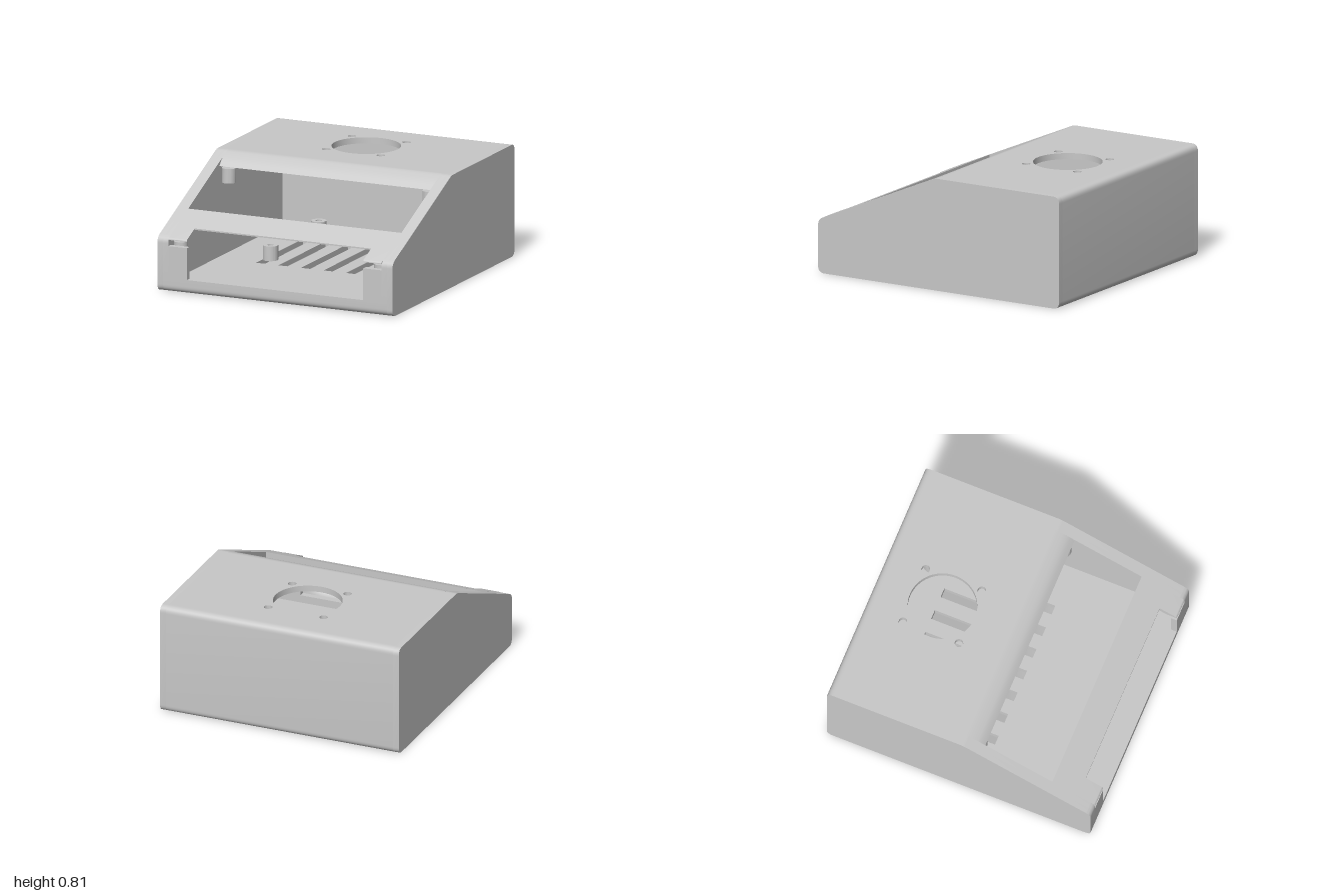
import * as THREE from 'three';
import { toCreasedNormals } from 'three/addons/utils/BufferGeometryUtils.js';

// Half widths (outer, inner, window, front opening) and wall thickness
const W = 0.913, IN = 0.869, WIN = 0.828, OPEN = 0.685, T = 0.044;

// Closed outline from [a, b, cornerRadius] points
function outline(pts) {
  const s = new THREE.Shape();
  const n = pts.length;
  const V = (p) => new THREE.Vector2(p[0], p[1]);
  pts.forEach((p, i) => {
    const c = V(p), r = p[2] || 0;
    const toward = (q) => c.clone().add(V(q).sub(c).setLength(r));
    const a = r ? toward(pts[(i + n - 1) % n]) : c;
    if (i === 0) s.moveTo(a.x, a.y); else s.lineTo(a.x, a.y);
    if (r) {
      const b = toward(pts[(i + 1) % n]);
      s.quadraticCurveTo(c.x, c.y, b.x, b.y);
    }
  });
  s.closePath();
  return s;
}

function circle(x, z, r) {
  return new THREE.Path().absarc(x, -z, r, 0, Math.PI * 2, true);
}

function rect(x0, x1, z0, z1) {
  return [[x0, -z1], [x1, -z1], [x1, -z0], [x0, -z0]];
}

export function createModel() {
  const group = new THREE.Group();
  const plastic = new THREE.MeshStandardMaterial({ color: 0xc8c8c8 });
  plastic.name = 'grey plastic';

  const add = (name, geo) => {
    const m = new THREE.Mesh(toCreasedNormals(geo, 0.5), plastic);
    m.name = name;
    group.add(m);
  };
  // Side profile in [z, y, radius], extruded from x0 to x1
  const profile = (name, pts, x0, x1) => {
    const s = outline(pts.map(([z, y, r]) => [-z, y, r]));
    const g = new THREE.ExtrudeGeometry(s, { depth: x1 - x0, bevelEnabled: false, curveSegments: 8 });
    add(name, g.rotateY(Math.PI / 2).translate(x0, 0, 0));
  };
  // Horizontal plate with holes, extruded from y0 to y1
  const plate = (name, shape, holes, y0, y1) => {
    shape.holes.push(...holes);
    const g = new THREE.ExtrudeGeometry(shape, { depth: y1 - y0, bevelEnabled: false, curveSegments: 32 });
    add(name, g.rotateX(-Math.PI / 2).translate(0, y0, 0));
  };

  // Back wall with rounded edges
  profile('backWall', [[-0.94, 0], [-0.94, T], [-0.956, T], [-0.956, 0.81 - T], [-0.94, 0.81 - T],
    [-0.94, 0.81], [-1, 0.81, 0.05], [-1, 0, 0.05]], -IN, IN);

  // Floor with seven vent slots
  const slots = [];
  for (let i = -3; i <= 3; i++) {
    const x = i * 0.175;
    slots.push(outline(rect(x - 0.035, x + 0.035, -0.64, 0.13)));
  }
  plate('floor', outline(rect(-IN, IN, -0.94, 0.94)), slots, 0, T);

  // Front sill below the opening
  profile('frontSill', [[0.94, 0], [1, 0, 0.05], [1, 0.1], [0.956, 0.1], [0.956, T], [0.94, T]], -IN, IN);

  // Roof with fan opening and four screw holes
  const holes = [circle(0, -0.497, 0.245)];
  for (const x of [-0.212, 0.212]) for (const z of [-0.71, -0.285]) holes.push(circle(x, z, 0.03));
  plate('roof', outline(rect(-IN, IN, -0.94, 0)), holes, 0.81 - T, 0.81);

  // Curved lip above the sloped window
  profile('windowLip', [[0, 0.81 - T], [0, 0.81], [0.02, 0.81], [0.045, 0.803], [0.075, 0.79],
    [0.11, 0.774], [0.137, 0.752], [0.163, 0.722], [0.12, 0.722], [0.06, 0.75]], -WIN, WIN);

  // Thin sloped bar between the window and the front opening
  profile('windowBar', [[0.675, 0.529], [0.87, 0.444], [0.87, 0.434], [0.785, 0.434],
    [0.675, 0.482]], -OPEN, OPEN);

  for (const [label, s] of [['left', 1], ['right', -1]]) {
    const span = (name, pts, a, b) => profile(label + name, pts, s > 0 ? a : -b, s > 0 ? b : -a);

    // Side wall with the sloped front
    span('Wall', [[1, 0, 0.05], [1, 0.387, 0.04], [0.03, 0.81, 0.02], [-1, 0.81, 0.05],
      [-1, 0, 0.05]], IN, W);

    // Strip of slope and front wall beside the window
    span('WindowEdge', [[0.956, 0.1], [1, 0.1], [1, 0.387, 0.04], [0.03, 0.81, 0.02], [0, 0.81],
      [0, 0.81 - T], [0.02, 0.81 - T], [0.956, 0.358]], WIN, IN);

    // Front cheek, with a slot under the sloped corner
    span('FrontCheek', [[0.956, 0.1], [1, 0.1], [1, 0.33], [0.956, 0.33]], OPEN, WIN);
    span('FrontCorner', [[0.675, 0.529], [0.675, 0.482], [0.922, 0.375], [1, 0.375],
      [1, 0.387, 0.01]], OPEN, WIN);

    // Posts for the window panel
    for (const [z, y0, y1] of [[0.11, 0.6, 0.705], [0.9, 0.25, 0.352]]) {
      const g = new THREE.CylinderGeometry(0.05, 0.05, y1 - y0, 32);
      add(label + 'WindowPost', g.translate(s * 0.778, (y0 + y1) / 2, z));
    }
    // Hollow standoffs on the floor
    for (const z of [-0.79, 0]) {
      const ring = new THREE.Shape().absarc(s * 0.508, -z, 0.054, 0, Math.PI * 2);
      plate(label + 'Standoff', ring, [circle(s * 0.508, z, 0.022)], T, 0.15);
    }
  }
  return group;
}
